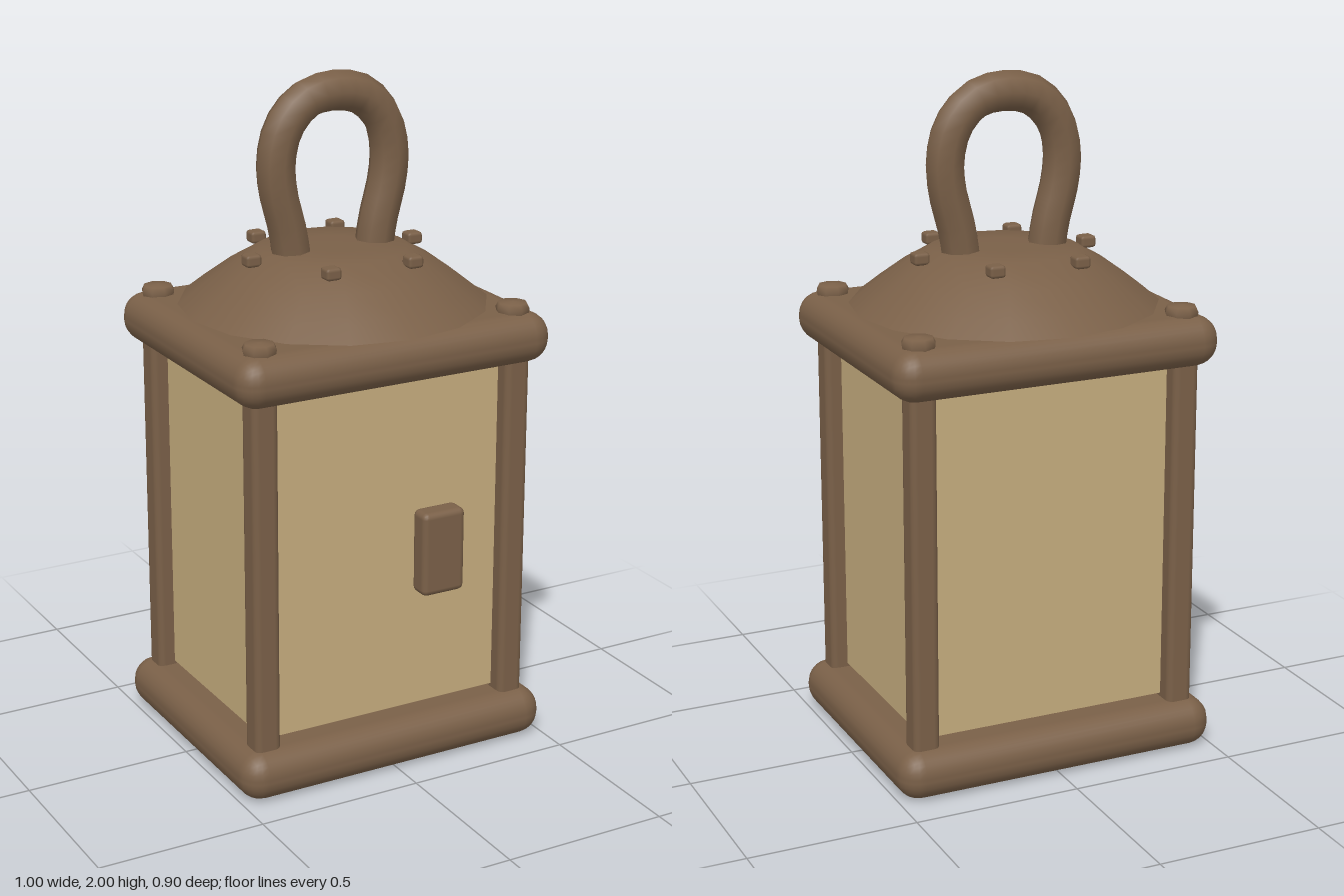
import * as THREE from 'three';
import { RoundedBoxGeometry } from 'three/addons/geometries/RoundedBoxGeometry.js';

export function createModel() {
  const lantern = new THREE.Group();
  lantern.name = 'lantern';

  const frame = new THREE.MeshStandardMaterial({ color: 0x7a6048, side: THREE.DoubleSide });
  frame.name = 'brown frame';
  const pane = new THREE.MeshStandardMaterial({ color: 0xc6ad7e });
  pane.name = 'tan pane';

  const add = (name, geometry, material, x = 0, y = 0, z = 0) => {
    const mesh = new THREE.Mesh(geometry, material);
    mesh.name = name;
    mesh.position.set(x, y, z);
    lantern.add(mesh);
    return mesh;
  };

  // Rounded plates below and above the box
  const plate = new RoundedBoxGeometry(1, 0.147, 0.835, 3, 0.068);
  add('basePlate', plate, frame, 0, 0.0735, 0);
  add('topPlate', plate, frame, 0, 1.252, 0);

  // Corner posts with a flat rivet above each
  const post = new RoundedBoxGeometry(0.08, 1.08, 0.08, 2, 0.02);
  const rivet = new THREE.LatheGeometry([
    [0.046, 0], [0.05, 0.018], [0.042, 0.034], [0, 0.038],
  ].map(p => new THREE.Vector2(...p)), 8);
  for (const x of [-1, 1]) {
    for (const z of [-1, 1]) {
      add('cornerPost', post, frame, x * 0.407, 0.663, z * 0.326);
      add('cornerRivet', rivet, frame, x * 0.406, 1.317, z * 0.325);
    }
  }

  // Panes set between the posts
  const widePane = new THREE.BoxGeometry(0.73, 1.01, 0.02);
  const sidePane = new THREE.BoxGeometry(0.02, 1.01, 0.564);
  for (const s of [-1, 1]) {
    add(s > 0 ? 'frontPane' : 'backPane', widePane, pane, 0, 0.665, s * 0.31);
    add(s > 0 ? 'leftPane' : 'rightPane', sidePane, pane, s * 0.39, 0.665, 0);
  }

  // Door latch
  add('latch', new RoundedBoxGeometry(0.138, 0.254, 0.07, 2, 0.018), frame, 0.132, 0.667, 0.389);

  // Sloped round roof with a flat crown
  const roof = new THREE.LatheGeometry([
    [0.45, 1.333], [0.39, 1.38], [0.31, 1.438], [0.215, 1.493], [0.1, 1.498], [0, 1.498],
  ].map(p => new THREE.Vector2(...p)), 16);
  add('roof', roof, frame);

  // Six small studs around the roof
  const stud = new RoundedBoxGeometry(0.048, 0.036, 0.048, 1, 0.01);
  for (let i = 0; i < 6; i++) {
    const a = i * Math.PI / 3;
    add('roofStud', stud, frame, 0.263 * Math.cos(a), 1.485, 0.263 * Math.sin(a));
  }

  // Carrying loop
  const half = [[0.13, 1.44], [0.146, 1.55], [0.178, 1.68], [0.182, 1.77], [0.155, 1.86], [0.09, 1.925]];
  const path = [
    ...half.map(([x, y]) => new THREE.Vector3(-x, y, 0)),
    new THREE.Vector3(0, 1.944, 0),
    ...half.slice().reverse().map(([x, y]) => new THREE.Vector3(x, y, 0)),
  ];
  add('handle', new THREE.TubeGeometry(new THREE.CatmullRomCurve3(path), 28, 0.058, 8), frame);

  return lantern;
}
